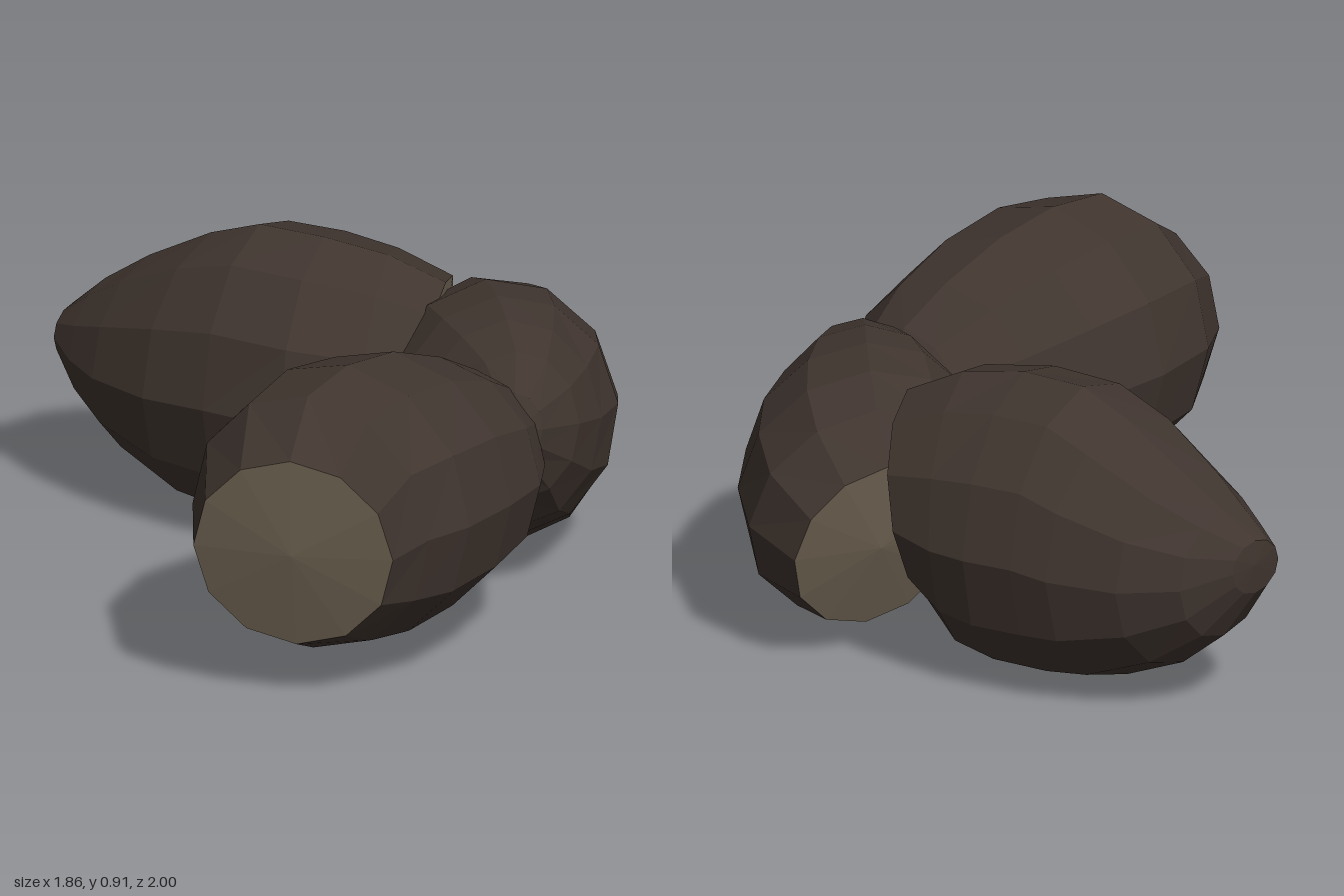
import * as THREE from 'three';

const SIDES = 12;
const skin = new THREE.MeshStandardMaterial({ color: 0x40352f, flatShading: true });
const cut = new THREE.MeshStandardMaterial({ color: 0x6e6252, flatShading: true });

// Each section runs from the cut end to the tip:
// [ax, az, bx, bz] ends of the horizontal diameter, centre height, half height, lean towards the cut end
const lobes = {
  leftLobe: {
    tip: [0.35, 0.47, 0.5],
    sections: [
      [-0.93, 0.47, -0.62, 0.96, 0.465, 0.295, 0.15],
      [-0.76, 0.30, -0.50, 0.985, 0.50, 0.39, 0.05],
      [-0.53, 0.21, -0.35, 1.00, 0.503, 0.412, 0],
      [-0.32, 0.20, -0.12, 0.94, 0.49, 0.395, 0],
      [-0.10, 0.24, 0.08, 0.86, 0.475, 0.33, 0],
      [0.11, 0.30, 0.20, 0.76, 0.475, 0.24, 0],
      [0.22, 0.36, 0.29, 0.66, 0.47, 0.15, 0],
    ],
  },
  frontLobe: {
    tip: [0.13, 0.59, 0.72],
    sections: [
      [0.92, 0.05, 0.40, -0.04, 0.345, 0.26, 0.25],
      [0.93, 0.25, 0.26, 0.03, 0.39, 0.345, 0.28],
      [0.83, 0.43, 0.17, 0.13, 0.425, 0.365, 0.28],
      [0.70, 0.56, 0.11, 0.25, 0.47, 0.335, 0.25],
      [0.53, 0.66, 0.10, 0.36, 0.50, 0.295, 0.2],
      [0.37, 0.73, 0.10, 0.50, 0.545, 0.21, 0.2],
      [0.20, 0.75, 0.10, 0.62, 0.58, 0.10, 0.2],
    ],
  },
  backLobe: {
    tip: [0.08, 0.46, -1.0],
    sections: [
      [0.20, 0.20, 0.73, -0.16, 0.455, 0.305, 0.2],
      [0.07, 0.14, 0.71, -0.30, 0.435, 0.40, 0.05],
      [-0.05, -0.05, 0.68, -0.42, 0.435, 0.432, 0],
      [-0.11, -0.30, 0.62, -0.56, 0.437, 0.432, 0],
      [-0.13, -0.52, 0.57, -0.66, 0.42, 0.39, 0],
      [-0.10, -0.75, 0.45, -0.83, 0.41, 0.29, 0],
      [-0.06, -0.88, 0.31, -0.95, 0.42, 0.19, 0],
      [-0.02, -0.98, 0.16, -1.00, 0.45, 0.08, 0],
    ],
  },
};

// Points of one elliptical section, with its centre and horizontal normal
function makeRing([ax, az, bx, bz, y, h, lean]) {
  const centre = new THREE.Vector3((ax + bx) / 2, y, (az + bz) / 2);
  const side = new THREE.Vector3((bx - ax) / 2, 0, (bz - az) / 2);
  const normal = new THREE.Vector3(-side.z, 0, side.x).normalize();
  const up = new THREE.Vector3(0, h, 0).addScaledVector(normal, lean * h);
  const points = [];
  for (let i = 0; i < SIDES; i++) {
    const t = (i / SIDES) * Math.PI * 2;
    points.push(centre.clone().addScaledVector(side, Math.cos(t)).addScaledVector(up, Math.sin(t)));
  }
  return { centre, normal, points };
}

function meshFrom(points, material, name) {
  const geometry = new THREE.BufferGeometry().setFromPoints(points);
  geometry.computeVertexNormals();
  const mesh = new THREE.Mesh(geometry, material);
  mesh.name = name;
  return mesh;
}

function makeLobe(name, { tip, sections }) {
  const rings = sections.map(makeRing);
  const end = new THREE.Vector3(...tip);
  const first = rings[0];
  const last = rings[rings.length - 1];
  const capCentre = first.centre.clone().addScaledVector(first.normal, 0.03);
  const body = [];
  const cap = [];
  for (let i = 0; i < SIDES; i++) {
    const k = (i + 1) % SIDES;
    for (let j = 0; j < rings.length - 1; j++) {
      const p = rings[j].points;
      const q = rings[j + 1].points;
      body.push(p[i], q[i], q[k], p[i], q[k], p[k]);
    }
    body.push(last.points[i], end, last.points[k]);
    cap.push(capCentre, first.points[i], first.points[k]);
  }
  const group = new THREE.Group();
  group.name = name;
  group.add(meshFrom(body, skin, name + 'Skin'), meshFrom(cap, cut, name + 'CutEnd'));
  return group;
}

export function createModel() {
  const model = new THREE.Group();
  model.name = 'lobes';
  for (const [name, lobe] of Object.entries(lobes)) model.add(makeLobe(name, lobe));
  return model;
}
